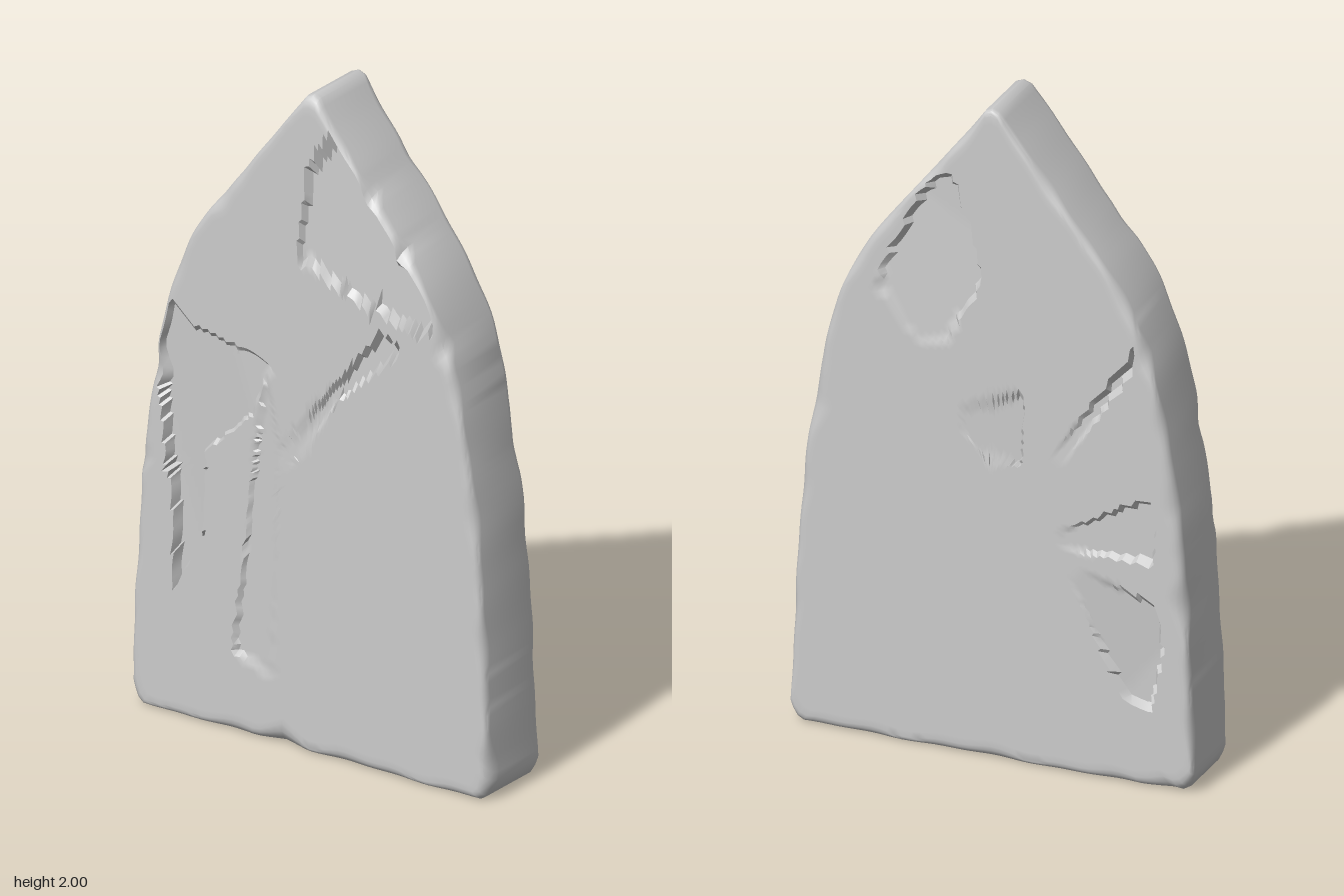
import * as THREE from 'three';
import { toCreasedNormals } from 'three/addons/utils/BufferGeometryUtils.js';

const HALF = 0.125;      // half thickness along x
const COLUMNS = 220;     // samples around the outline
const FACE_RINGS = 44;   // rings from bevel to the middle of each face
const BEVEL_STEPS = 4;
const CENTRE = new THREE.Vector2(0, 0.85);

// Dents as [outline in (z, y), shallow end, deep end, shallow depth, deep depth]
const DENTS = {
  1: [
    [[[.13, 1.78], [.07, 1.63], [.03, 1.46], [.14, 1.26], [.22, 1.24], [.35, 1.4], [.29, 1.54], [.19, 1.74]], [.28, 1.28], [.08, 1.62], .004, .028],
    [[[.09, 1.06], [-.1, 1.14], [-.09, .92], [.02, .92], [.09, 1.0]], [.1, 1.0], [-.1, 1.0], .002, .012],
    [[[-.43, 1.32], [-.43, 1.28], [-.2, .92], [-.17, .94]], [-.2, .95], [-.42, 1.3], 0, .025],
    [[[-.2, .73], [-.47, .88], [-.5, .8], [-.49, .69], [-.2, .69]], [-.2, .71], [-.49, .78], 0, .03],
    [[[-.22, .65], [-.5, .56], [-.52, .42], [-.48, .24], [-.41, .25]], [-.25, .6], [-.5, .4], 0, .028],
  ],
  [-1]: [
    [[[.08, 1.9], [.0, 1.78], [-.04, 1.48], [.0, 1.5], [.1, 1.44], [.37, 1.37], [.46, 1.42], [.25, 1.75]], [0, 1.5], [.3, 1.7], .015, .035],
    [[[-.5, 1.26], [-.4, 1.2], [-.13, 1.15], [-.2, .98], [-.36, .83], [-.37, .56], [-.47, .38], [-.46, .6], [-.5, .9], [-.53, 1.08]], [-.2, 1], [-.5, .9], .01, .028],
    [[[-.15, 1.12], [-.26, .25], [-.13, .2], [-.1, .9]], [-.08, .6], [-.26, .6], 0, .014],
    [[[.25, 1.34], [.31, 1.3], [.1, 1.1], [-.1, .8], [-.14, .85]], [-.1, .85], [.28, 1.32], 0, .025],
  ],
};

// Broken edge chips as [z, y, radius, extra bevel across x, extra bevel inward]
const CHIPS = {
  1: [[-.47, 1.33, .08, .02, .02], [.54, 1.0, .1, .025, .04], [-.56, .86, .09, .02, .03],
    [-.58, .55, .1, .015, .03], [-.55, 0, .1, .03, .03], [.16, 1.78, .06, .01, .02]],
  [-1]: [[.19, 1.75, .05, .075, .05], [.32, 1.61, .035, .045, .05], [.46, 1.35, .06, .03, .04],
    [-.3, 1.62, .07, .02, .03], [-.54, 1.05, .07, .02, .04], [-.57, .75, .05, .015, .04],
    [.61, .1, .12, .03, .02], [-.1, 0, .09, .03, .04]],
};

function inside(poly, z, y) {
  let hit = false;
  for (let i = 0, j = poly.length - 1; i < poly.length; j = i++) {
    const [az, ay] = poly[i], [bz, by] = poly[j];
    if ((ay > y) !== (by > y) && z < (bz - az) * (y - ay) / (by - ay) + az) hit = !hit;
  }
  return hit;
}

function dentDepth(side, z, y) {
  let depth = 0;
  for (const [poly, a, b, d0, d1] of DENTS[side]) {
    if (!inside(poly, z, y)) continue;
    const dz = b[0] - a[0], dy = b[1] - a[1];
    const t = ((z - a[0]) * dz + (y - a[1]) * dy) / (dz * dz + dy * dy);
    depth = Math.max(depth, d0 + (d1 - d0) * THREE.MathUtils.clamp(t, 0, 1));
  }
  return depth;
}

// Worn bevel size at an outline point: across the thickness and into the face
function bevel(side, p, j) {
  const a = j / COLUMNS * Math.PI * 2;
  const wave = Math.sin(a * 13 + side) + Math.sin(a * 29 + 2 * side) * 0.7;
  let across = 0.024 + 0.005 * wave, inward = 0.026 + 0.006 * wave;
  for (const [z, y, r, x, inn] of CHIPS[side]) {
    const w = Math.max(0, 1 - Math.hypot(p.x - z, p.y - y) / r);
    across += x * w;
    inward += inn * w;
  }
  return [across, inward];
}

// Pointed arch outline in (z, y)
function archOutline() {
  const side = [[.617, .05], [.6, .45], [.575, .8], [.54, 1.04], [.5, 1.24], [.45, 1.39], [.37, 1.54], [.215, 1.74], [.07, 1.925]];
  const v = (k) => ([z, y]) => new THREE.Vector2(k * z, y);
  const path = new THREE.Path().moveTo(0, 0).lineTo(.59, 0).lineTo(.617, .05);
  path.splineThru(side.slice(1).map(v(1)));
  path.lineTo(.015, 2).lineTo(-.015, 2).lineTo(-.07, 1.925);
  path.splineThru(side.slice(0, -1).reverse().map(v(-1)));
  path.lineTo(-.59, 0).lineTo(0, 0);
  return path.getSpacedPoints(COLUMNS).slice(0, COLUMNS);
}

// Rings running from the middle of one face, over its bevel, to the rim
function faceRings(side, outline) {
  const rings = [];
  for (let i = 0; i <= FACE_RINGS + BEVEL_STEPS; i++) {
    rings.push(outline.map((p, j) => {
      const [across, inward] = bevel(side, p, j);
      const reach = p.distanceTo(CENTRE);
      let inset, x = HALF;
      if (i <= FACE_RINGS) {
        inset = THREE.MathUtils.lerp(reach, inward, i / FACE_RINGS);
      } else {
        const a = (i - FACE_RINGS) / BEVEL_STEPS * Math.PI / 2;
        inset = inward * (1 - Math.sin(a));
        x = HALF - across * (1 - Math.cos(a));
      }
      const q = p.clone().lerp(CENTRE, inset / reach);
      if (i <= FACE_RINGS) x -= dentDepth(side, q.x, q.y);
      return [side * x, q.y, q.x];
    }));
  }
  return rings;
}

function slabGeometry() {
  const outline = archOutline();
  const rings = [...faceRings(-1, outline), ...faceRings(1, outline).reverse()];
  const index = [];
  const last = rings.length - 1;
  for (let i = 0; i < last; i++) {
    for (let j = 0; j < COLUMNS; j++) {
      const k = (j + 1) % COLUMNS;
      const a = i * COLUMNS + j, b = a + COLUMNS;
      const d = i * COLUMNS + k, c = d + COLUMNS;
      if (i < last - 1) index.push(a, b, c);
      else index.push(a, b, d);
      if (i > 0 && i < last - 1) index.push(a, c, d);
    }
  }
  const geometry = new THREE.BufferGeometry();
  geometry.setAttribute('position', new THREE.Float32BufferAttribute(rings.flat(2), 3));
  geometry.setIndex(index);
  return toCreasedNormals(geometry, 0.6);
}

export function createModel() {
  const model = new THREE.Group();
  model.name = 'stoneSlab';
  const slab = new THREE.Mesh(slabGeometry(), new THREE.MeshStandardMaterial({ color: 0xcccccc }));
  slab.name = 'chippedArchSlab';
  model.add(slab);
  return model;
}
